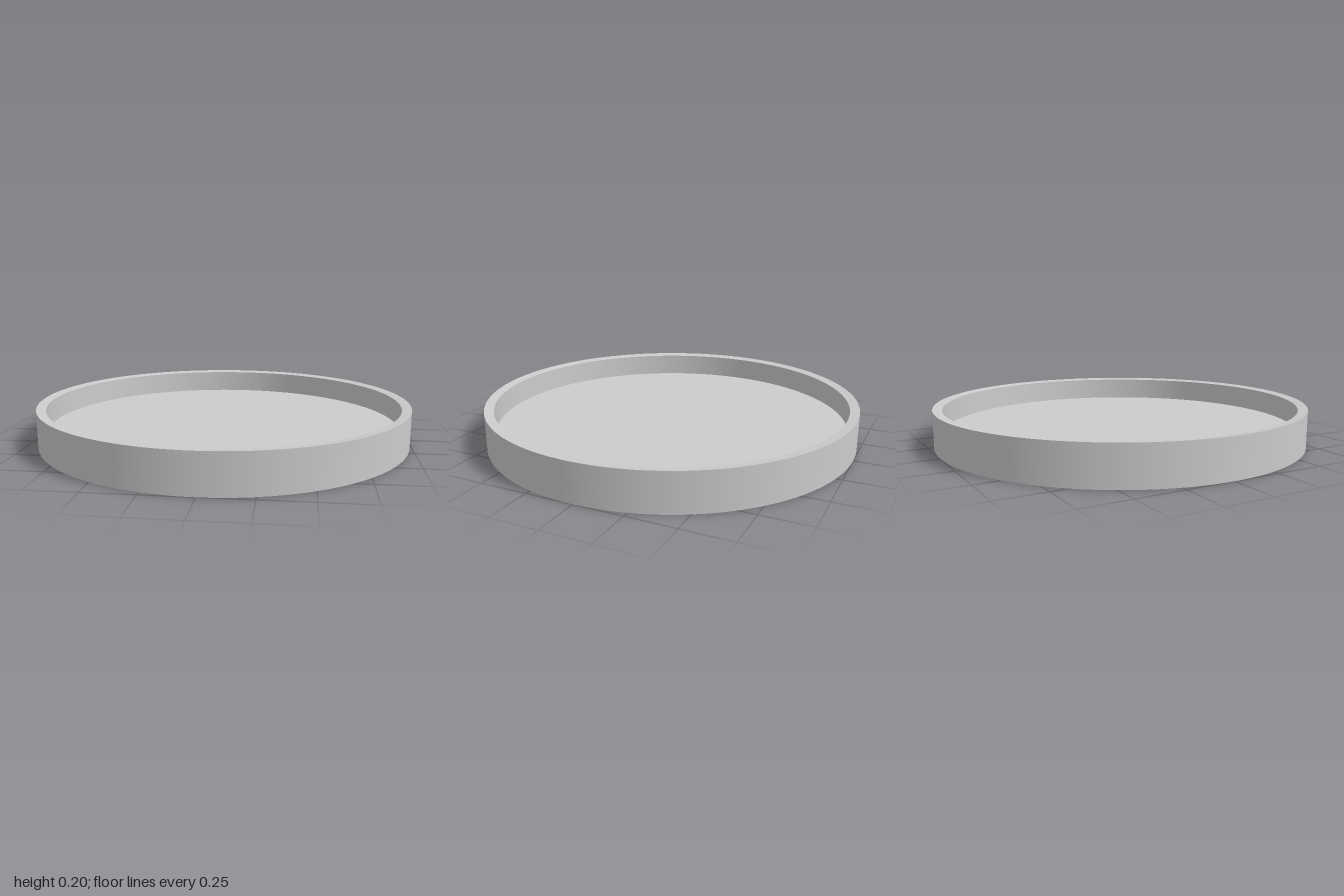
import * as THREE from 'three';

const SEGMENTS = 128;

export function createModel() {
  const group = new THREE.Group();
  group.name = 'shallowRoundTray';
  const material = new THREE.MeshStandardMaterial({ color: 0xcccccc });

  // Cross-section from bottom centre, up the wall, over the rim, to floor centre.
  // Each span is its own lathe so the edges between them stay sharp.
  const profile = [[0, 0], [1, 0], [1, 0.2], [0.95, 0.194], [0.95, 0.07], [0, 0.07]]
    .map(([r, y]) => new THREE.Vector2(r, y));
  const names = ['base', 'outerWall', 'slopedRim', 'innerWall', 'floor'];

  names.forEach((name, i) => {
    const geometry = new THREE.LatheGeometry([profile[i], profile[i + 1]], SEGMENTS);
    const mesh = new THREE.Mesh(geometry, material);
    mesh.name = name;
    group.add(mesh);
  });

  return group;
}
